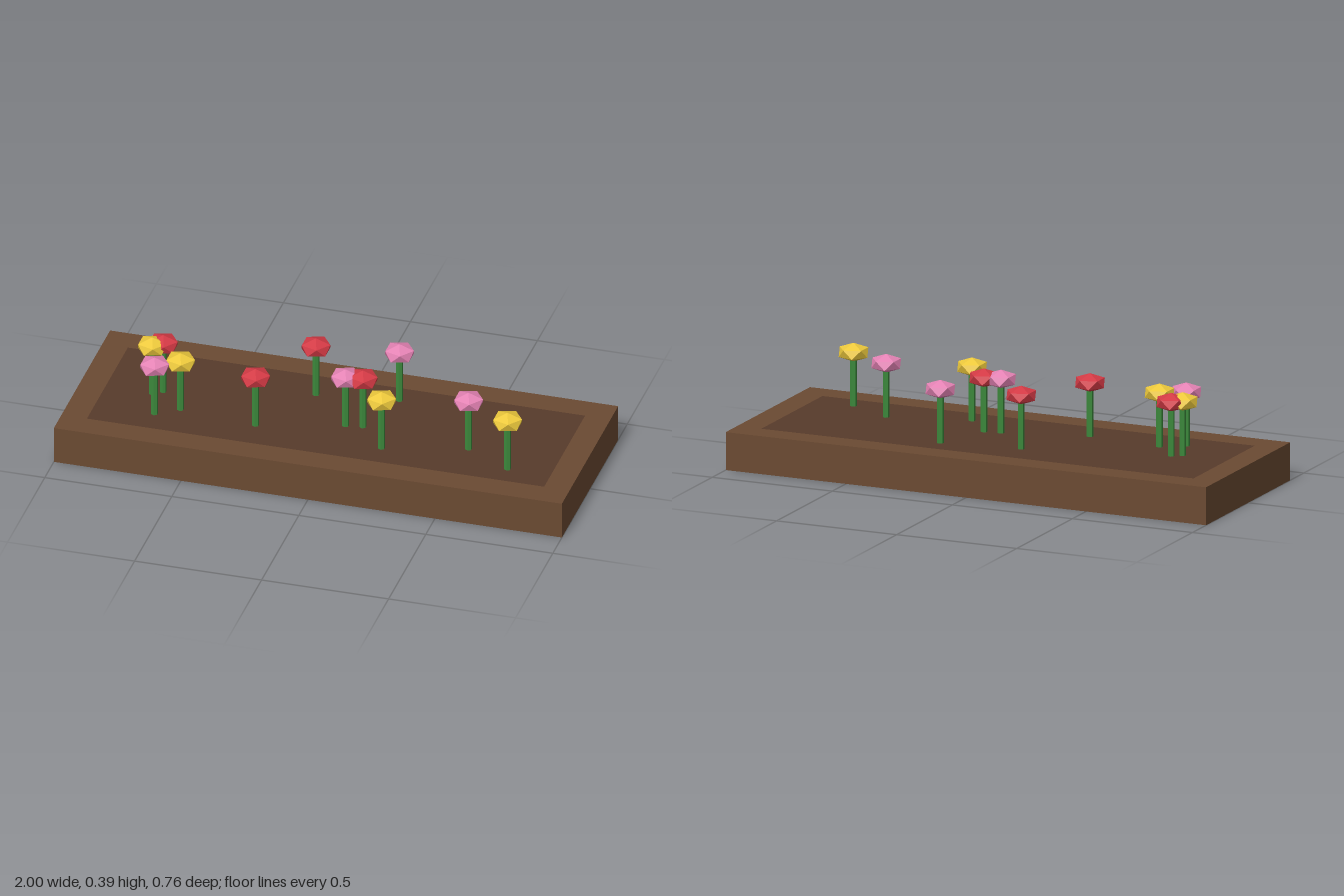
import * as THREE from 'three';

const material = (color) => new THREE.MeshStandardMaterial({ color, flatShading: true });

function part(name, geometry, mat) {
  const mesh = new THREE.Mesh(geometry, mat);
  mesh.name = name;
  return mesh;
}

const rectangle = (Type, w, d) => new Type([
  new THREE.Vector2(-w, -d), new THREE.Vector2(w, -d),
  new THREE.Vector2(w, d), new THREE.Vector2(-w, d),
]);

export function createModel() {
  const model = new THREE.Group();
  model.name = 'flowerBed';
  const height = 0.148, soilBottom = 0.03;

  // Wooden frame, open through the middle
  const outline = rectangle(THREE.Shape, 1, 0.378);
  outline.holes.push(rectangle(THREE.Path, 0.9, 0.275));
  const frame = new THREE.ExtrudeGeometry(outline, { depth: height, bevelEnabled: false });
  frame.rotateX(-Math.PI / 2);
  model.add(part('frame', frame, material(0x6b4a32)));

  // Soil, level with the rim and raised a little off the ground
  const soil = new THREE.BoxGeometry(1.8, height - soilBottom, 0.55);
  soil.translate(0, (height + soilBottom) / 2, 0);
  model.add(part('soil', soil, material(0x573b2b)));

  // Shared flower pieces: six-sided stem and flattened icosahedron standing on a vertex
  const stemTop = 0.358;
  const stem = new THREE.CylinderGeometry(0.013, 0.013, stemTop - height, 6);
  stem.translate(0, (stemTop + height) / 2, 0);
  const bloom = new THREE.IcosahedronGeometry(0.064);
  bloom.rotateZ(-Math.atan(2 / (1 + Math.sqrt(5))));
  bloom.scale(1, 0.57, 1);
  bloom.translate(0, stemTop, 0);

  const green = material(0x3d8b3d);
  const beds = [
    ['redFlower', 0xd43a45, [[-0.12, -0.14], [-0.68, 0], [-0.275, 0.143], [0.118, 0.04]]],
    ['yellowFlower', 0xedc93c, [[-0.715, 0.027], [-0.58, 0.11], [0.23, 0.173], [0.73, 0.187]]],
    ['pinkFlower', 0xe583b5, [[0.195, -0.187], [-0.665, 0.168], [0.052, 0.05], [0.547, 0.086]]],
  ];
  for (const [name, color, spots] of beds) {
    const petals = material(color);
    for (const [x, z] of spots) {
      const flower = new THREE.Group();
      flower.name = name;
      flower.add(part('stem', stem, green), part('bloom', bloom, petals));
      flower.position.set(x, 0, z);
      model.add(flower);
    }
  }
  return model;
}
